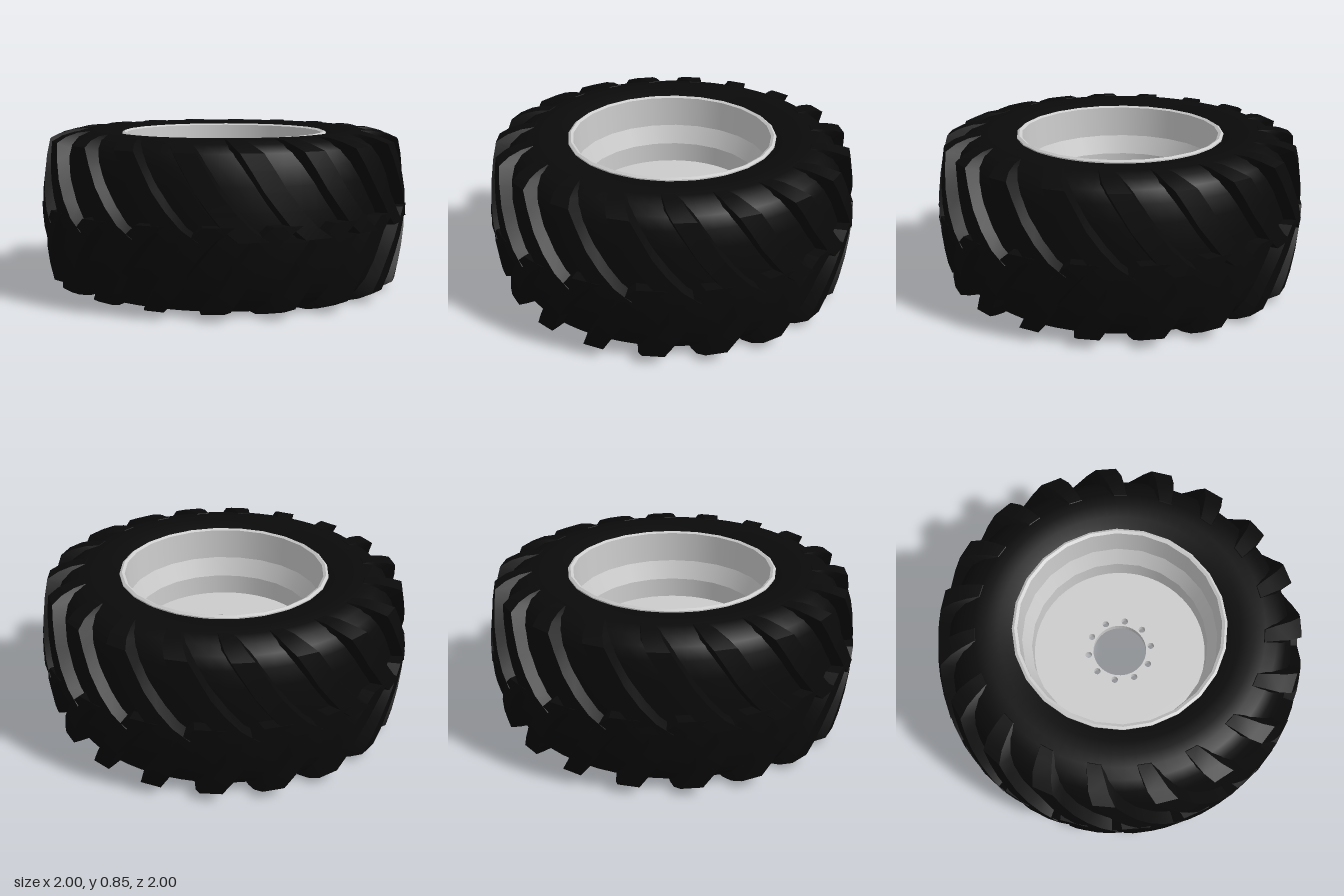
import * as THREE from 'three';
import { mergeGeometries, toCreasedNormals } from 'three/addons/utils/BufferGeometryUtils.js';

const HEIGHT = 0.85;
const LUGS = 19;
const rad = THREE.MathUtils.degToRad;

const rubber = new THREE.MeshStandardMaterial({ color: 0x0a0a0a });
const metal = new THREE.MeshStandardMaterial({ color: 0xcccccc });

const lathe = (points, segments) =>
  new THREE.LatheGeometry(points.map(([r, y]) => new THREE.Vector2(r, y)), segments);

// Lathe that is smooth around the axis but keeps every profile corner sharp
const bandedLathe = (points, segments) =>
  mergeGeometries(points.slice(1).map((p, i) => lathe([points[i], p], segments)));

function addMesh(parent, name, geometry, material) {
  const mesh = new THREE.Mesh(geometry, material);
  mesh.name = name;
  parent.add(mesh);
  return mesh;
}

// Stations of one lug from tread centre to sidewall:
// [outer radius, outer y, base radius, base y, angle, top half width, base half width] (degrees)
const LUG = [
  [1.0, 0.39, 0.91, 0.39, 0, 4.2, 5.4],
  [0.997, 0.45, 0.91, 0.45, -4.5, 3.8, 5.2],
  [0.992, 0.53, 0.91, 0.53, -8.5, 3.5, 5.0],
  [0.982, 0.62, 0.9, 0.62, -12.5, 3.4, 4.8],
  [0.967, 0.72, 0.88, 0.7, -16, 3.4, 4.8],
  [0.95, 0.8, 0.85, 0.765, -19, 3.4, 4.8],
  [0.89, 0.828, 0.82, 0.80, -21, 3.3, 4.8],
  [0.82, 0.846, 0.77, 0.82, -22.5, 3.0, 4.4],
  [0.755, 0.849, 0.73, 0.83, -24, 2.6, 4.0],
];

// Lofts the trapezoid section of a lug through its stations
function lugGeometry(mirrored) {
  const positions = [];
  const index = [];
  const put = (r, y, deg) => {
    const a = rad(deg);
    positions.push(r * Math.sin(a), mirrored ? HEIGHT - y : y, r * Math.cos(a));
  };
  const tri = (a, b, c) => index.push(...(mirrored ? [a, c, b] : [a, b, c]));
  const quad = (a, b, c, d) => { tri(a, b, c); tri(a, c, d); };

  for (const [r, y, br, by, angle, top, base] of LUG) {
    put(br, by, angle - base);
    put(r, y, angle - top);
    put(r, y, angle + top);
    put(br, by, angle + base);
  }
  for (let i = 0; i < LUG.length - 1; i++) {
    const s = i * 4;
    for (let k = 0; k < 3; k++) quad(s + k, s + k + 1, s + k + 5, s + k + 4);
  }
  const e = (LUG.length - 1) * 4;
  quad(0, 3, 2, 1);
  quad(e, e + 1, e + 2, e + 3);

  const geometry = new THREE.BufferGeometry();
  geometry.setAttribute('position', new THREE.Float32BufferAttribute(positions, 3));
  geometry.setIndex(index);
  return toCreasedNormals(geometry, rad(35));
}

function createTyre() {
  const tyre = new THREE.Group();
  tyre.name = 'tyre';

  // Carcass: half profile from tread centre to bead, mirrored
  const half = [
    [0.935, 0.425], [0.932, 0.52], [0.92, 0.64], [0.9, 0.73], [0.87, 0.79],
    [0.82, 0.828], [0.76, 0.846], [0.7, 0.85], [0.63, 0.843], [0.555, 0.82],
  ];
  const lower = half.slice(1).reverse().map(([r, y]) => [r, HEIGHT - y]);
  addMesh(tyre, 'carcass', lathe([...lower, ...half], 72), rubber);

  // Chevron tread: two staggered rows of curved lugs
  for (const mirrored of [false, true]) {
    const geometry = lugGeometry(mirrored);
    const row = new THREE.Group();
    row.name = mirrored ? 'lowerLugs' : 'upperLugs';
    for (let i = 0; i < LUGS; i++) {
      const lug = addMesh(row, 'lug', geometry, rubber);
      lug.rotation.y = rad((mirrored ? 4 : 13.3) + (i * 360) / LUGS);
    }
    tyre.add(row);
  }
  return tyre;
}

function createWheel() {
  const wheel = new THREE.Group();
  wheel.name = 'wheel';

  // Stepped rim barrel with a lip at each end
  const rim = [
    [0.565, 0.8], [0.563, 0.828], [0.55, 0.836], [0.535, 0.828], [0.525, 0.66],
    [0.48, 0.56], [0.472, 0.24], [0.525, 0.14], [0.535, 0.022],
    [0.55, 0.014], [0.563, 0.022], [0.565, 0.05], [0.565, 0.8],
  ];
  addMesh(wheel, 'rim', bandedLathe(rim, 24), metal);

  // Centre disc with hub hole and ten bolt holes
  const shape = new THREE.Shape().absarc(0, 0, 0.474, 0, Math.PI * 2);
  const hole = (x, y, r) => shape.holes.push(new THREE.Path().absarc(x, y, r, 0, Math.PI * 2, true));
  hole(0, 0, 0.147);
  for (let i = 0; i < 10; i++) {
    const a = rad(4 + i * 36);
    hole(0.175 * Math.cos(a), 0.175 * Math.sin(a), 0.018);
  }
  const disc = new THREE.ExtrudeGeometry(shape, { depth: 0.04, bevelEnabled: false, curveSegments: 24 });
  disc.rotateX(-Math.PI / 2);
  disc.translate(0, 0.41, 0);
  addMesh(wheel, 'disc', disc, metal);
  return wheel;
}

export function createModel() {
  const model = new THREE.Group();
  model.name = 'tractorWheel';
  model.add(createTyre(), createWheel());
  return model;
}
